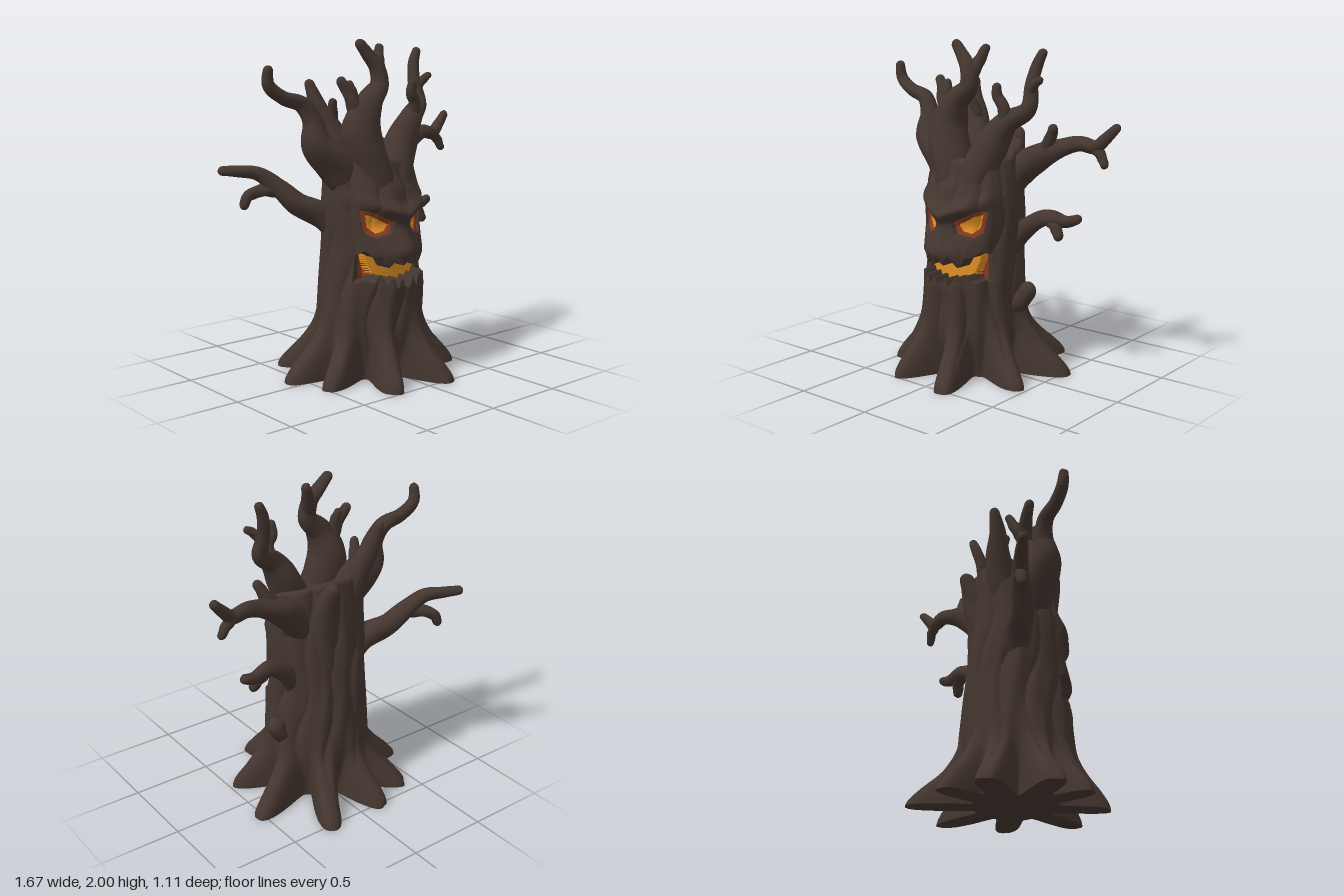
import * as THREE from 'three';

const bark = new THREE.MeshStandardMaterial({ color: 0x44362f });
bark.name = 'dark bark';
const rim = new THREE.MeshStandardMaterial({ color: 0x863a22 });
rim.name = 'ember red';
const glow = new THREE.MeshStandardMaterial({ color: 0xe08f22 });
glow.name = 'glowing orange';

const CX = -0.03; // trunk axis

// Smooth curve through [position, value] pairs
function profile(pairs) {
  const c = new THREE.CubicInterpolant(pairs.map(p => p[0]), pairs.map(p => p[1]), 1);
  return t => c.evaluate(t)[0];
}

// Closed skin through rows of points; point(i, j, v) fills v and returns a colour zone
function loft(cols, rows, point) {
  const pos = [], zone = [], faces = [[], [], []], v = new THREE.Vector3();
  for (let j = 0; j < rows; j++) for (let i = 0; i < cols; i++) {
    zone.push(point(i, j, v) || 0);
    pos.push(v.x, v.y, v.z);
  }
  const add = (...f) => faces[Math.min(...f.map(k => zone[k]))].push(...f);
  for (let j = 0; j < rows - 1; j++) for (let i = 0; i < cols; i++) {
    const n = (i + 1) % cols, a = j * cols + i, b = j * cols + n;
    add(a, b, b + cols);
    add(a, b + cols, a + cols);
  }
  const g = new THREE.BufferGeometry();
  g.setAttribute('position', new THREE.Float32BufferAttribute(pos, 3));
  g.setIndex(faces.flat());
  let start = 0;
  faces.forEach((f, k) => { g.addGroup(start, f.length, k); start += f.length; });
  g.computeVertexNormals();
  return g;
}

function inside(poly, x, y) {
  let hit = false;
  poly.forEach(([x1, y1], k) => {
    const [x2, y2] = poly[(k + 1) % poly.length];
    if ((y1 > y) !== (y2 > y) && x < x1 + (y - y1) * (x2 - x1) / (y2 - y1)) hit = !hit;
  });
  return hit;
}

// Trunk half sizes by height
const side = profile([[0, 0.31], [0.3, 0.31], [0.6, 0.3], [0.8, 0.29], [1, 0.3], [1.2, 0.29], [1.43, 0.28]]);
const front = profile([[0, 0.31], [0.3, 0.32], [0.5, 0.33], [0.62, 0.33], [0.75, 0.32], [0.95, 0.3], [1.1, 0.28], [1.25, 0.23], [1.43, 0.19]]);
const back = profile([[0, 0.31], [0.4, 0.31], [0.8, 0.29], [1.1, 0.27], [1.43, 0.25]]);

// Roots: tip positions on the ground (x, z), and how the flare fades with height
const VALLEY = 0.07; // how far the ground line dips in between roots
const flare = profile([[0, 1], [0.03, 0.96], [0.1, 0.75], [0.2, 0.4], [0.3, 0.16], [0.45, 0.05], [0.65, 0], [1.5, 0]]);
const roots = [[-0.26, 0.5], [0.15, 0.54], [0.47, 0.22], [0.55, -0.18], [0.25, -0.54],
  [-0.15, -0.55], [-0.43, -0.43], [-0.62, -0.08], [-0.52, 0.2]]
  .map(([x, z]) => ({ angle: Math.atan2(x - CX, z), reach: Math.hypot(x - CX, z) - 0.31 }));

// Mouth: heights of the toothed lips by distance from the axis
const MOUTH_LOW = 0.6, MOUTH_HIGH = 0.74, MOUTH_HALF = 0.222;
const upperLip = profile([[0, 0.755], [0.035, 0.7], [0.07, 0.755], [0.115, 0.69], [0.155, 0.745], [0.19, 0.755], [0.225, 0.79]]);
const lowerLip = profile([[0, 0.565], [0.02, 0.58], [0.04, 0.62], [0.07, 0.57], [0.1, 0.63], [0.13, 0.595], [0.155, 0.645], [0.185, 0.605], [0.225, 0.615]]);
const mouthGlow = [[-0.02, 0.82], [0.202, 0.82], [0.198, 0.74], [0.168, 0.65], [0.14, 0.55], [-0.02, 0.55]];

// Half outlines of the eyes, mirrored about the axis
const socket = [[0.242, 1.028], [0.19, 1.022], [0.062, 0.958], [0.066, 0.92], [0.08, 0.884], [0.17, 0.86], [0.218, 0.893]];
const eye = [[0.208, 1.002], [0.17, 0.99], [0.078, 0.937], [0.1, 0.897], [0.15, 0.88], [0.19, 0.92]];

const bump = (d, w) => Math.exp(-((d / w) ** 2));

// Slides the rows around the mouth onto the lip curves
function lipHeight(y, h) {
  const low = lowerLip(h) - MOUTH_LOW, high = upperLip(h) - MOUTH_HIGH;
  const lerp = THREE.MathUtils.mapLinear;
  const shift = y < 0.5 || y > 0.84 ? 0
    : y <= MOUTH_LOW ? lerp(y, 0.5, MOUTH_LOW, 0, low)
      : y < MOUTH_HIGH ? lerp(y, MOUTH_LOW, MOUTH_HIGH, low, high)
        : lerp(y, MOUTH_HIGH, 0.84, high, 0);
  return y + shift * (1 - THREE.MathUtils.smoothstep(h, 0.22, 0.27));
}

function trunk() {
  // Rows of [height, scale, in mouth]: underside, body, sunken top
  const rows = [[0, 0], [0, 1], [0, 1]];
  const span = (a, b, n, inMouth) => {
    for (let k = 0; k <= n; k++) rows.push([a + (b - a) * k / n, 1, inMouth]);
  };
  span(0.015, 0.5, 28);
  span(0.505, MOUTH_LOW, 16);
  span(MOUTH_LOW, MOUTH_HIGH, 24, true);
  span(MOUTH_HIGH, 1.05, 68);
  span(1.065, 1.36, 18);
  rows.push([1.375, 0.95], [1.375, 0.85], [1.365, 0.7], [1.345, 0.4], [1.335, 0]);
  const cols = 240;
  return loft(cols, rows.length, (i, j, v) => {
    const [row, s, inMouth] = rows[j];
    const t = (i / cols) * Math.PI * 2 - Math.PI;
    const a = t - 0.5 * Math.sin(t); // finer at the front
    const sn = Math.sin(a), cs = Math.cos(a);
    const face = cs > 0 ? bump(sn, 0.9) * bump(row - 0.82, 0.28) : 0;

    // Wavy creases in the bark
    const fold = Math.abs(Math.sin(5.5 * a + 0.7 * Math.sin(4 * row) + 0.5 * Math.sin(9 * row + 2 * a)));
    const fine = Math.sin(17 * a + 2 * Math.sin(5 * row));
    const k = 1 + (1 - face) * (0.1 * (Math.sqrt(fold) - 0.75) + 0.012 * fine);
    let r = -VALLEY * flare(row);
    for (const q of roots) {
      const d = Math.abs(Math.atan2(Math.sin(a - q.angle), Math.cos(a - q.angle)));
      r += (q.reach + VALLEY) * flare(row) * Math.exp(-((d / 0.205) ** 3.2));
    }
    const X = (side(row) * k + r) * sn * s, h = Math.abs(X);
    const y = cs > 0.1 && s === 1 ? lipHeight(row, h) : row;
    let z = ((cs > 0 ? front(y) : back(y)) * k + r) * cs * s;
    let zone = 0;
    if (cs > 0.1 && s === 1) {
      // Slanted brows, muzzle and lower lip
      const fade = Math.min(1, (cs - 0.1) * 2.5);
      z += fade * (0.058 * bump(y - 0.99 - 0.36 * h, 0.045) * bump(h, 0.26)
        + 0.055 * bump(y - 0.775, 0.075) * bump(h, 0.17)
        + 0.02 * bump(y - 0.88, 0.08) * bump(h, 0.05)
        + 0.015 * bump(y - 0.57, 0.07) * bump(h, 0.18)
        - 0.02 * bump(y - 0.92, 0.05) * bump(h - 0.14, 0.08));
      if (inMouth && h < MOUTH_HALF) {
        // Glowing panel bulges forward of the red corners; its edge stays orange
        const panel = 0.22 - 0.9 * h * h;
        z = Math.min(z - 0.01, inside(mouthGlow, h, y) ? panel : Math.min(panel, 0.135));
        zone = inside(mouthGlow, h - 0.006, y) ? 2 : 1;
      } else if (inMouth) {
        z = Math.min(z, 0.155); // cheeks cut back beside the mouth
      } else if (inside(eye, h, y)) {
        z -= 0.03;
        zone = 2;
      } else if (inside(socket, h, y)) {
        z -= 0.022;
        zone = 1;
      }
    }
    // The rim is lower at the front than at the back and dips at the sides
    const tilt = (0.08 * cs + 0.03 * sn * sn) * s;
    v.set(CX + X, y - tilt * THREE.MathUtils.smoothstep(y, 1.1, 1.37), z);
    return zone;
  });
}

// Tapering limb through [x, y, z, radius] points with a rounded tip
function limb(points) {
  const curve = new THREE.CatmullRomCurve3(points.map(p => new THREE.Vector3(...p)));
  const radius = profile(points.map((p, i) => [i, p[3]]));
  const n = points.length * 8, cols = 14, last = points[points.length - 1][3];
  const length = curve.getLength(), { normals, binormals } = curve.computeFrenetFrames(n, false);
  return loft(cols, n + 5, (i, j, v) => {
    // Extra rows crowd towards the end to round it off
    const u = j < n ? (j / n) * (1 - last / length) : 1 - (last / length) * (1 - Math.sin((j - n) / 4 * Math.PI / 2));
    const e = Math.max(0, 1 - (1 - u) * length / last);
    const f = Math.min(n, Math.round(u * n)), a = (i / cols) * Math.PI * 2;
    const r = radius(curve.getUtoTmapping(u) * (points.length - 1)) * Math.sqrt(Math.max(0, 1 - e * e))
      * (1 + 0.06 * Math.sin(3 * a + 14 * u));
    curve.getPointAt(u, v).addScaledVector(normals[f], r * Math.cos(a)).addScaledVector(binormals[f], r * Math.sin(a));
  });
}

const limbs = {
  rightTallBranch: [[-0.14, 1.05, 0.02, 0.1], [-0.26, 1.25, 0, 0.12], [-0.41, 1.4, -0.02, 0.092], [-0.43, 1.53, -0.04, 0.06],
    [-0.49, 1.63, -0.06, 0.048], [-0.61, 1.67, -0.07, 0.04], [-0.7, 1.74, -0.08, 0.036], [-0.71, 1.85, -0.07, 0.026]],
  rightLowBranch: [[-0.2, 0.8, -0.08, 0.06], [-0.29, 0.96, -0.13, 0.078], [-0.43, 1.035, -0.19, 0.068], [-0.52, 1.13, -0.25, 0.056],
    [-0.62, 1.22, -0.31, 0.042], [-0.73, 1.235, -0.37, 0.034], [-0.83, 1.24, -0.42, 0.026]],
  rightLowTwig: [[-0.52, 1.12, -0.25, 0.045], [-0.6, 1.12, -0.3, 0.038], [-0.67, 1.09, -0.34, 0.034], [-0.71, 1.01, -0.35, 0.026]],
  centreBranch: [[-0.06, 1, 0.19, 0.08], [-0.11, 1.23, 0.12, 0.12], [-0.17, 1.47, 0.08, 0.12], [-0.11, 1.63, 0.09, 0.078],
    [-0.02, 1.73, 0.08, 0.057], [-0.03, 1.83, 0.07, 0.048], [-0.09, 1.91, 0.05, 0.038], [-0.16, 1.99, 0.04, 0.028]],
  centreTwig: [[-0.02, 1.78, 0.07, 0.045], [0.01, 1.86, 0.03, 0.038], [0.055, 1.97, -0.01, 0.024]],
  centreSideTwig: [[-0.17, 1.52, 0.08, 0.06], [-0.22, 1.64, 0.07, 0.042], [-0.25, 1.71, 0.05, 0.034], [-0.29, 1.78, 0.03, 0.026]],
  centreSmallTwig: [[-0.21, 1.62, 0.07, 0.04], [-0.21, 1.7, 0.05, 0.03], [-0.22, 1.76, 0.03, 0.02]],
  leftTallBranch: [[0.03, 1, 0.19, 0.08], [0.08, 1.22, 0.11, 0.11], [0.16, 1.4, 0.07, 0.1], [0.25, 1.53, 0.06, 0.068],
    [0.36, 1.61, 0.01, 0.05], [0.36, 1.75, -0.03, 0.039], [0.38, 1.86, -0.06, 0.034], [0.42, 1.95, -0.07, 0.024]],
  leftTallTwig: [[0.36, 1.7, -0.02, 0.036], [0.4, 1.75, 0, 0.028], [0.46, 1.79, 0.01, 0.02]],
  leftInnerTwig: [[0.25, 1.5, 0.06, 0.05], [0.25, 1.62, 0.09, 0.036], [0.215, 1.68, 0.1, 0.032], [0.215, 1.76, 0.11, 0.024]],
  leftLongBranch: [[0.12, 1.02, -0.06, 0.08], [0.2, 1.21, -0.1, 0.1], [0.32, 1.31, -0.14, 0.085], [0.47, 1.375, -0.17, 0.055],
    [0.59, 1.41, -0.19, 0.045], [0.69, 1.4, -0.2, 0.04], [0.75, 1.45, -0.21, 0.034], [0.83, 1.53, -0.23, 0.024]],
  leftLongTwig: [[0.68, 1.4, -0.2, 0.035], [0.73, 1.35, -0.2, 0.03], [0.765, 1.28, -0.19, 0.022]],
  leftLongUpperTwig: [[0.36, 1.34, -0.15, 0.05], [0.42, 1.42, -0.13, 0.038], [0.47, 1.52, -0.1, 0.026]],
  leftLowBranch: [[0.17, 0.7, -0.07, 0.05], [0.24, 0.85, -0.09, 0.062], [0.34, 0.935, -0.11, 0.052], [0.43, 0.965, -0.13, 0.047],
    [0.52, 0.95, -0.15, 0.037], [0.625, 0.98, -0.17, 0.026]],
  leftLowTwig: [[0.42, 0.96, -0.13, 0.04], [0.48, 0.91, -0.12, 0.036], [0.515, 0.84, -0.1, 0.026]],
  brokenStub: [[0.16, 0.38, -0.03, 0.06], [0.27, 0.45, -0.05, 0.062], [0.31, 0.5, -0.06, 0.056], [0.335, 0.57, -0.06, 0.045]],
  backBranch: [[-0.1, 1.1, -0.1, 0.1], [-0.14, 1.32, -0.15, 0.1], [-0.19, 1.49, -0.21, 0.075], [-0.24, 1.63, -0.25, 0.048],
    [-0.27, 1.76, -0.29, 0.026]],
  backTwig: [[-0.18, 1.46, -0.2, 0.05], [-0.17, 1.55, -0.18, 0.035], [-0.19, 1.65, -0.15, 0.022]],
  backStub: [[0.04, 0.85, -0.18, 0.08], [0.06, 1.15, -0.19, 0.088], [0.07, 1.33, -0.24, 0.07], [0.07, 1.46, -0.31, 0.034]],
};

export function createModel() {
  const model = new THREE.Group();
  model.name = 'spookyTree';
  const body = new THREE.Mesh(trunk(), [bark, rim, glow]);
  body.name = 'trunkWithRootsAndFace';
  model.add(body);
  for (const [name, points] of Object.entries(limbs)) {
    const mesh = new THREE.Mesh(limb(points), bark);
    mesh.name = name;
    model.add(mesh);
  }
  return model;
}
